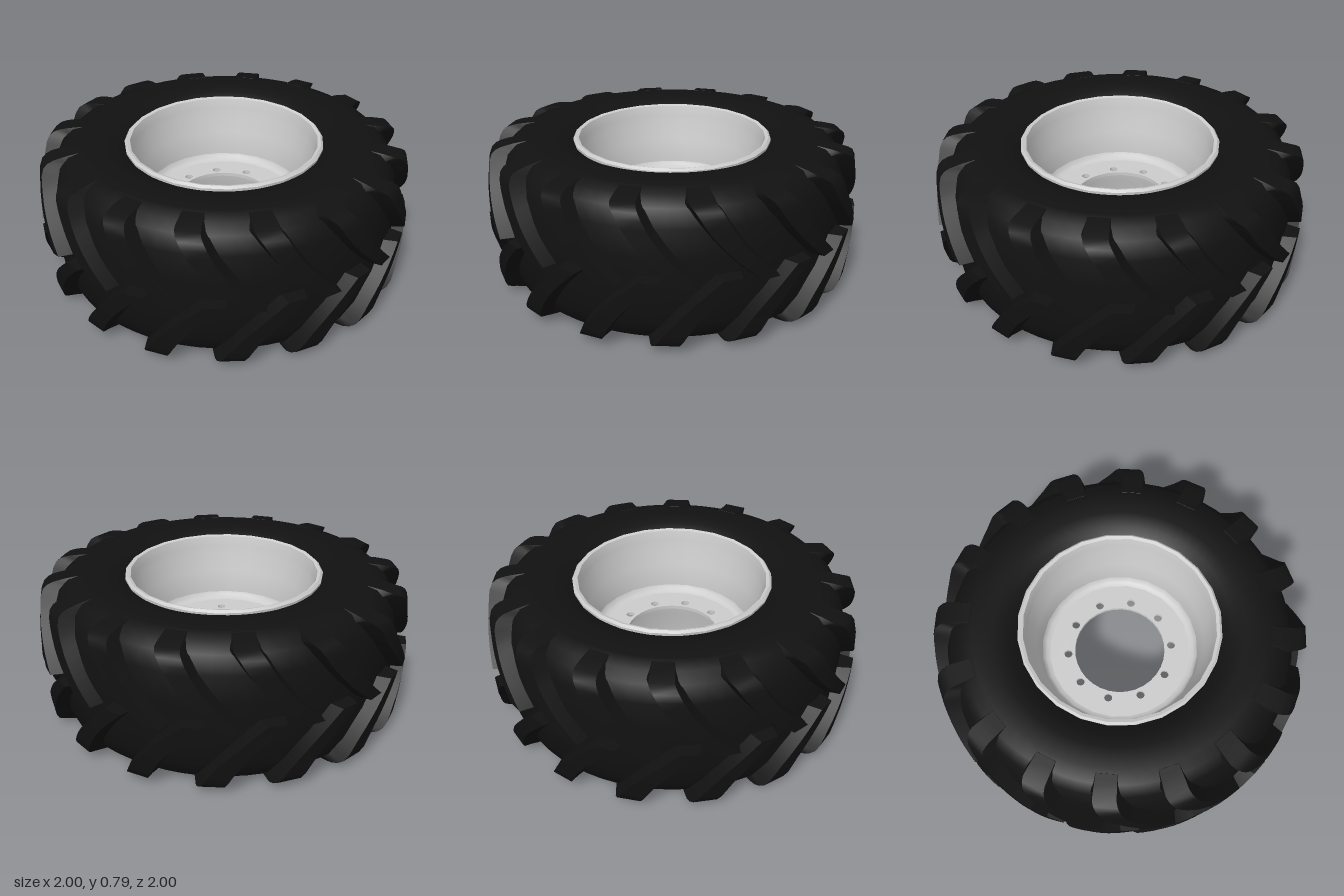
import * as THREE from 'three';
import { toCreasedNormals } from 'three/addons/utils/BufferGeometryUtils.js';

const H = 0.79, MID = H / 2, LUGS = 16;
const rad = THREE.MathUtils.degToRad;
const rubber = new THREE.MeshStandardMaterial({ color: 0x111111, side: THREE.DoubleSide });
const steel = new THREE.MeshStandardMaterial({ color: 0xcccccc, side: THREE.DoubleSide });

function part(name, geometry, material) {
  const mesh = new THREE.Mesh(geometry, material);
  mesh.name = name;
  return mesh;
}

// Lathe from [radius, y] pairs
function lathe(points, segments, crease) {
  const geo = new THREE.LatheGeometry(points.map(([r, y]) => new THREE.Vector2(r, y)), segments);
  return toCreasedNormals(geo, crease);
}

// Completes an upper half profile with its reflection in the mid plane
const mirrored = (half) => [...half, ...half.map(([r, y]) => [r, H - y]).reverse()];

const curve = (pts) => new THREE.CatmullRomCurve3(pts.map(([r, y]) => new THREE.Vector3(r, y, 0)));

// One curved tread bar, swept from the centre line over the shoulder
function lugGeometry(lower) {
  const crest = curve([[1.0, 0.38], [0.996, 0.5], [0.985, 0.62], [0.96, 0.735], [0.88, 0.768], [0.78, 0.785]]);
  const root = curve([[0.9, 0.38], [0.9, 0.5], [0.89, 0.62], [0.86, 0.71], [0.82, 0.74], [0.75, 0.76]]);
  const steps = 15, pos = [], idx = [];
  for (let i = 0; i <= steps; i++) {
    const t = i / steps;
    const s = Math.min(t / 0.75, 1);
    const mid = 6 - 19 * (1 - Math.pow(1 - s, 1.6));
    const top = 2.6 + 1.2 * s, base = 4.2 + 1.1 * s;
    const c = crest.getPoint(t), b = root.getPoint(t);
    for (const [p, w] of [[b, -base], [c, -top], [c, top], [b, base]]) {
      const a = rad(mid + w);
      pos.push(p.x * Math.sin(a), lower ? H - p.y : p.y, p.x * Math.cos(a));
    }
  }
  const tri = (a, b, c) => (lower ? idx.push(a, c, b) : idx.push(a, b, c));
  for (let i = 0; i < steps; i++) {
    for (let j = 0; j < 3; j++) {
      const a = i * 4 + j;
      tri(a, a + 1, a + 5);
      tri(a, a + 5, a + 4);
    }
  }
  // End caps
  const e = steps * 4;
  tri(0, 2, 1);
  tri(0, 3, 2);
  tri(e, e + 1, e + 2);
  tri(e, e + 2, e + 3);
  const geo = new THREE.BufferGeometry();
  geo.setAttribute('position', new THREE.Float32BufferAttribute(pos, 3));
  geo.setIndex(idx);
  return toCreasedNormals(geo, 0.6);
}

// Flat wheel disc with hub opening and bolt holes
function discGeometry() {
  const circle = (Shape, x, y, r) => new Shape().absarc(x, y, r, 0, Math.PI * 2);
  const shape = circle(THREE.Shape, 0, 0, 0.435);
  shape.holes.push(circle(THREE.Path, 0, 0, 0.25));
  for (let i = 0; i < 10; i++) {
    const a = rad(-96 + 36 * i);
    shape.holes.push(circle(THREE.Path, 0.288 * Math.cos(a), 0.288 * Math.sin(a), 0.022));
  }
  const geo = new THREE.ExtrudeGeometry(shape, { depth: 0.02, bevelEnabled: false, curveSegments: 16 });
  geo.rotateX(Math.PI / 2);
  geo.translate(0, MID + 0.01, 0);
  return toCreasedNormals(geo, 0.6);
}

export function createModel() {
  const wheel = new THREE.Group();
  wheel.name = 'wheel';

  // Tyre carcass, lower bead to upper bead
  const carcass = mirrored([
    [0.5, 0.73], [0.535, 0.75], [0.58, 0.775], [0.65, 0.789], [0.76, 0.789],
    [0.83, 0.77], [0.88, 0.725], [0.912, 0.64], [0.93, 0.5],
  ]).reverse();
  // Closed reversed order keeps the surface facing outwards
  wheel.add(part('tyreCarcass', lathe(carcass, 64, 0.7), rubber));

  // Two rows of tread bars, staggered by half a pitch
  const tread = new THREE.Group();
  tread.name = 'tread';
  for (const lower of [false, true]) {
    const geo = lugGeometry(lower);
    for (let i = 0; i < LUGS; i++) {
      const lug = part(lower ? 'lowerLug' : 'upperLug', geo, rubber);
      lug.rotation.y = ((i + (lower ? 0.5 : 0)) / LUGS) * Math.PI * 2;
      tread.add(lug);
    }
  }
  wheel.add(tread);

  // Rim barrel with rolled lips at both ends
  const rim = mirrored([
    [0.505, 0.725], [0.53, 0.742], [0.532, 0.76], [0.52, 0.772], [0.503, 0.766],
    [0.49, 0.715], [0.485, 0.67], [0.452, 0.57], [0.43, 0.44],
  ]);
  wheel.add(part('rim', lathe(rim, 24, 0.5), steel));

  // Wheel disc and the fillet joining it to the barrel
  wheel.add(part('wheelDisc', discGeometry(), steel));
  const fillet = [[0.432, 0.445], [0.424, 0.425], [0.41, 0.411], [0.39, 0.405]];
  wheel.add(part('discFillet', lathe(fillet, 24, 0.7), steel));

  return wheel;
}
